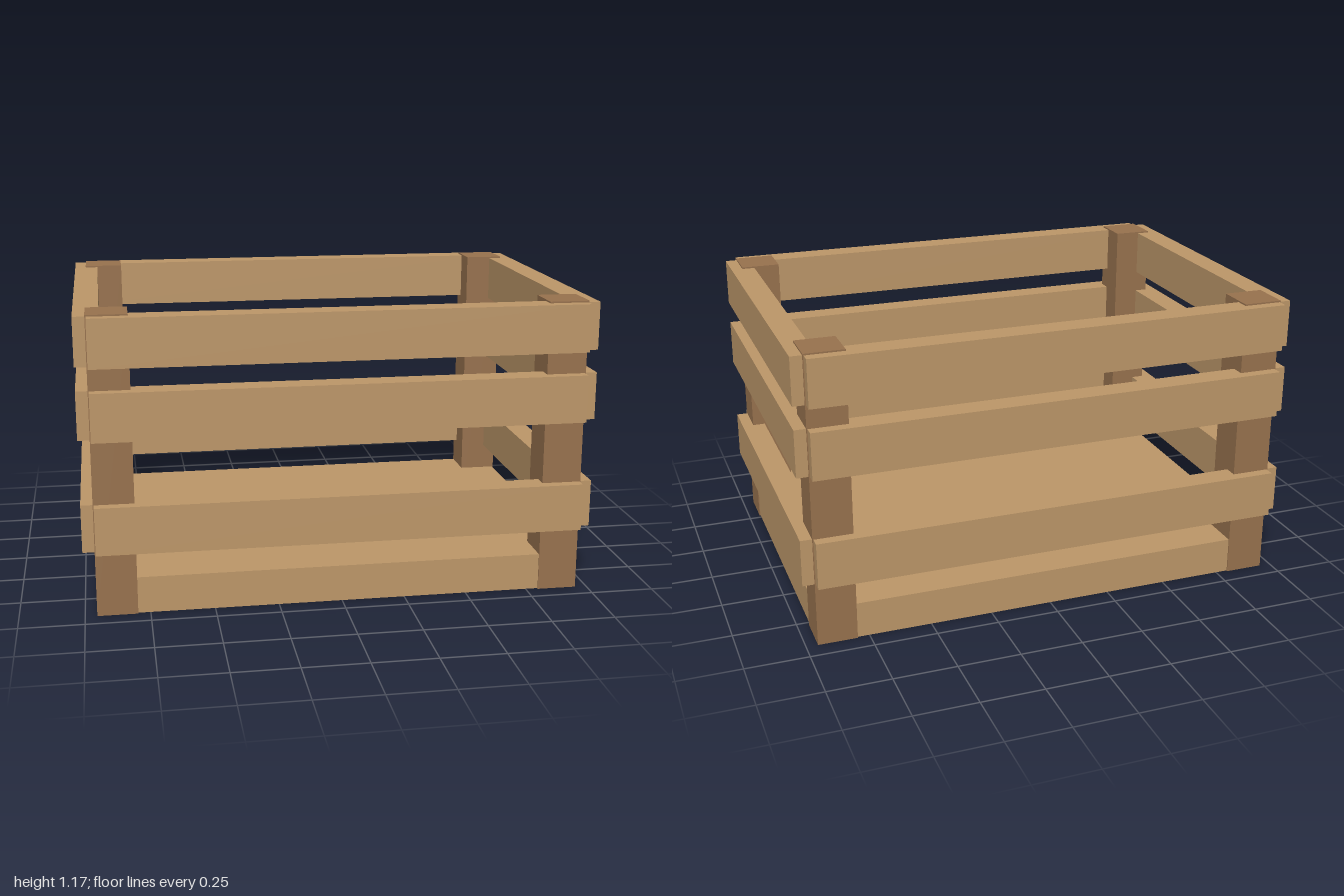
import * as THREE from 'three';

export function createModel() {
  const crate = new THREE.Group();
  crate.name = 'crate';

  const lightWood = new THREE.MeshStandardMaterial({ color: 0xbd9769 });
  lightWood.name = 'light wood';
  const darkWood = new THREE.MeshStandardMaterial({ color: 0x98724e });
  darkWood.name = 'dark wood';

  const addBox = (name, material, size, position) => {
    const mesh = new THREE.Mesh(new THREE.BoxGeometry(...size), material);
    mesh.name = name;
    mesh.position.set(...position);
    crate.add(mesh);
  };

  // Thick floor board, just inside the outer faces of the posts
  addBox('floor', lightWood, [1.9, 0.145, 1.348], [0, 0.0745, 0]);

  // Corner posts, slightly proud of the top slats
  for (const x of [-1, 1]) {
    for (const z of [-1, 1]) {
      addBox('cornerPost', darkWood, [0.156, 1.17, 0.158], [x * 0.876, 0.585, z * 0.599]);
    }
  }

  // Three rows of slats around all four sides
  for (const y of [0.352, 0.792, 1.07]) {
    for (const side of [-1, 1]) {
      addBox(side > 0 ? 'frontSlat' : 'backSlat', lightWood, [1.9, 0.188, 0.097], [0, y, side * 0.6715]);
      addBox(side > 0 ? 'leftSlat' : 'rightSlat', lightWood, [0.097, 0.188, 1.346], [side * 0.9515, y, 0]);
    }
  }

  return crate;
}
